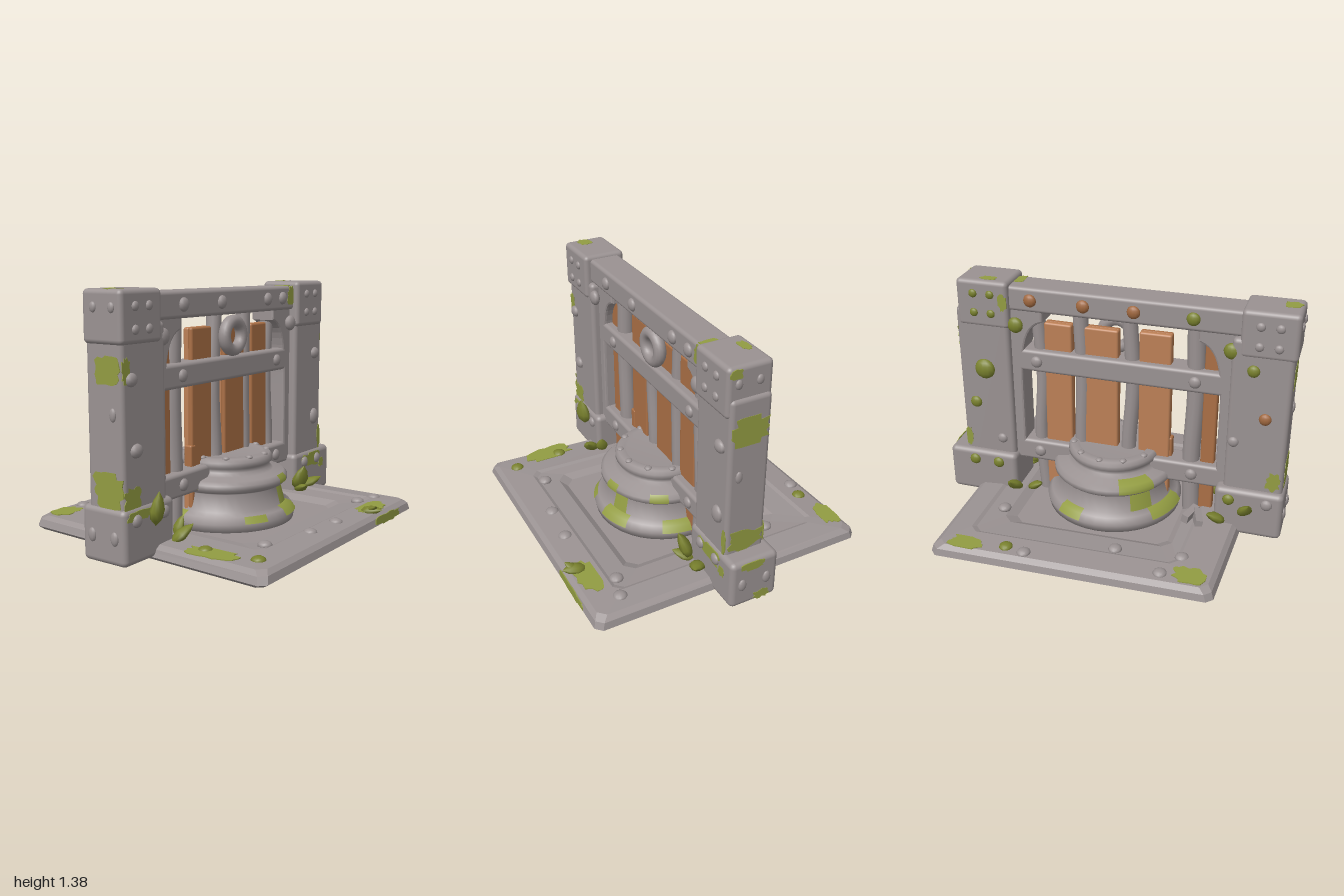
import * as THREE from 'three';
import { RoundedBoxGeometry } from 'three/addons/geometries/RoundedBoxGeometry.js';

const PI = Math.PI;
const FACE = {
  front: [0, 0, 0], back: [0, PI, 0], left: [0, PI / 2, 0], right: [0, -PI / 2, 0],
  up: [-PI / 2, 0, 0], down: [PI / 2, 0, 0],
};

export function createModel() {
  const root = new THREE.Group();
  root.name = 'ruinedGate';
  const mat = (name, color) => { const m = new THREE.MeshStandardMaterial({ color }); m.name = name; return m; };
  const stone = mat('stone', 0x9a9292);
  const wood = mat('wood', 0xaa6f45);
  const paleWood = mat('paleWood', 0xbc8056);
  const moss = mat('moss', 0x929c42);
  const leafGreen = mat('leaf', 0x7a822e);
  const copper = mat('copper', 0xa0683f);

  let seed = 7;
  const rnd = () => (seed = (seed * 16807) % 2147483647) / 2147483647;

  const add = (name, geo, m, p = [0, 0, 0], r = [0, 0, 0]) => {
    const mesh = new THREE.Mesh(geo, m);
    mesh.name = name;
    mesh.position.set(...p);
    mesh.rotation.set(...r);
    root.add(mesh);
    return mesh;
  };
  // Rounded block given by its limits on each axis
  const block = (name, m, x0, x1, y0, y1, z0, z1, round = 0.02, rz = 0) =>
    add(name, new RoundedBoxGeometry(x1 - x0, y1 - y0, z1 - z0, 3, round), m,
      [(x0 + x1) / 2, (y0 + y1) / 2, (z0 + z1) / 2], [0, 0, rz]);
  // Flattened round stud on a face
  const studGeo = new THREE.SphereGeometry(1, 12, 8);
  const stud = (x, y, z, face, r = 0.035, m = stone, tall = 1) =>
    add('stud', studGeo, m, [x, y, z], FACE[face]).scale.set(r, r * tall, r * 0.6);
  // Thin ragged moss patch on a face
  const patch = (x, y, z, face, w, h) => {
    const clamp = (v, l) => Math.max(-l, Math.min(l, v));
    const pts = [];
    for (let i = 0; i < 22; i++) {
      const a = (i / 22) * 2 * PI, k = 0.75 + 0.6 * rnd();
      pts.push(new THREE.Vector2(clamp(w * 0.5 * k * Math.cos(a), w / 2), clamp(h * 0.5 * k * Math.sin(a), h / 2)));
    }
    add('mossPatch', new THREE.ExtrudeGeometry(new THREE.Shape(pts), { depth: 0.005, bevelEnabled: false }),
      moss, [x, y, z], FACE[face]);
  };
  // Plump pointed leaf growing from a root point
  const leafGeo = new THREE.LatheGeometry([[0, 0], [0.5, 0.2], [0.62, 0.45], [0.4, 0.75], [0, 1]]
    .map(p => new THREE.Vector2(...p)), 10);
  const leaf = (x, y, z, yaw, lean, len) => {
    const l = add('leaf', leafGeo, leafGreen, [x, y, z]);
    l.rotation.set(lean, yaw, 0, 'YXZ');
    l.scale.set(len * 0.5, len, len * 0.3);
  };

  // Base slab: chamfered rings from the underside, over the rim, into the recess
  const quad = (x0, x1, z0, z1, y, cut) => {
    const c = [[x0, z1], [x1, z1], [x1, z0], [x0, z0]], out = [];
    c.forEach((p, i) => [c[(i + 3) % 4], c[(i + 1) % 4]].forEach(q => {
      const d = Math.hypot(q[0] - p[0], q[1] - p[1]) || 1;
      out.push([p[0] + (q[0] - p[0]) / d * cut, y, p[1] + (q[1] - p[1]) / d * cut]);
    }));
    return out;
  };
  const rings = [
    quad(0, 0, 0, 0, 0.012, 0), quad(-0.79, 0.78, -0.78, 0.77, 0.012, 0.03),
    quad(-0.815, 0.81, -0.81, 0.8, 0.032, 0.035), quad(-0.8, 0.8, -0.8, 0.79, 0.07, 0.035),
    quad(-0.77, 0.77, -0.77, 0.765, 0.09, 0.04), quad(-0.56, 0.65, -0.63, 0.62, 0.1, 0.04),
    quad(-0.54, 0.63, -0.61, 0.6, 0.09, 0.04), quad(-0.47, 0.52, -0.47, 0.49, 0.082, 0.05),
    quad(-0.43, 0.47, -0.42, 0.45, 0.055, 0.05), quad(0, 0, 0, 0, 0.055, 0)];
  // Skew the back right corner inwards
  rings.forEach(r => r.forEach(p => {
    if (p[0] < 0 && p[2] < 0) { p[0] *= 1 + 0.11 * p[2]; p[2] *= 0.95; }
  }));
  const verts = [];
  for (let i = 0; i < rings.length - 1; i++) for (let j = 0; j < 8; j++) {
    const k = (j + 1) % 8, a = rings[i], b = rings[i + 1];
    verts.push(...a[j], ...a[k], ...b[k], ...a[j], ...b[k], ...b[j]);
  }
  const slab = new THREE.BufferGeometry();
  slab.setAttribute('position', new THREE.Float32BufferAttribute(verts, 3));
  slab.computeVertexNormals();
  add('baseSlab', slab, stone);
  [[-0.45, -0.68], [-0.53, -0.52], [-0.17, -0.55], [0.29, -0.72], [0.4, -0.7], [0.55, -0.36], [-0.69, 0.38],
    [-0.66, 0.67], [-0.45, 0.57], [-0.14, 0.65], [0.1, 0.67], [0.55, 0.57], [0.68, 0.61]]
    .forEach(([x, z], i) => stud(x, 0.092, z, 'up', 0.038, i === 4 || i === 6 || i === 7 ? leafGreen : stone));
  stud(-0.69, 0.013, 0.7, 'down', 0.04, copper);
  [[-0.6, -0.66, 0.18, 0.13], [0.62, -0.73, 0.2, 0.1], [-0.72, 0.44, 0.13, 0.3], [0.47, 0.7, 0.26, 0.13]]
    .forEach(([x, z, w, h]) => patch(x, 0.0935, z, 'up', w, h));
  patch(0.48, 0.052, 0.796, 'front', 0.3, 0.06);

  // Round pedestal
  const profile = [[0, 0.05], [0.385, 0.05], [0.395, 0.1], [0.37, 0.135], [0.335, 0.15], [0.31, 0.245], [0.33, 0.255],
    [0.35, 0.275], [0.35, 0.3], [0.33, 0.32], [0.27, 0.33], [0.25, 0.35], [0.25, 0.37], [0.265, 0.38],
    [0.265, 0.405], [0.25, 0.425], [0.21, 0.43], [0.2, 0.415], [0, 0.415]].map(p => new THREE.Vector2(...p));
  add('pedestal', new THREE.LatheGeometry(profile, 40), stone, [0, 0, 0.01]);
  const mossBand = (from, to, start, len) => add('pedestalMoss', new THREE.LatheGeometry(
    profile.slice(from, to).map(p => new THREE.Vector2(p.x + 0.004, p.y + 0.002)), 10, start, len), moss, [0, 0, 0.01]);
  [[2, 5, 0.05, 0.5], [4, 6, 0.15, 0.3], [7, 10, 0.05, 0.25], [2, 5, 1.1, 0.5], [7, 10, 0.9, 0.3], [2, 4, 5.6, 0.35],
    [2, 5, 4.0, 0.7], [7, 11, 3.5, 0.6], [4, 6, 3.7, 0.4], [2, 5, 2.5, 0.4], [7, 10, 4.5, 0.4]]
    .forEach(a => mossBand(...a));
  for (let i = 0; i < 11; i++) {
    const a = i / 11 * 2 * PI + 0.2;
    stud(0.235 * Math.sin(a), 0.427, 0.01 + 0.235 * Math.cos(a), 'up', 0.02);
  }

  // Posts with foot and head blocks
  block('rightPost', stone, -0.985, -0.66, 0.1, 1.2, -0.11, 0.12, 0.025);
  block('leftPost', stone, 0.575, 0.885, 0.1, 1.2, -0.11, 0.12, 0.025);
  block('rightPostFoot', stone, -1, -0.62, 0.03, 0.315, -0.145, 0.135, 0.03);
  block('leftPostFoot', stone, 0.56, 0.98, 0.03, 0.31, -0.145, 0.135, 0.03);
  block('rightPostHead', stone, -1, -0.7, 1.1, 1.36, -0.115, 0.135, 0.025);
  block('leftPostHead', stone, 0.57, 0.87, 1.095, 1.365, -0.115, 0.135, 0.025);

  // Beam and rails
  block('topBeam', stone, -0.73, 0.6, 1.2, 1.34, -0.085, 0.1);
  block('middleRail', stone, -0.66, 0.58, 0.84, 0.97, -0.075, 0.075);
  block('lowerRail', stone, -0.66, 0.58, 0.265, 0.395, -0.075, 0.075);

  // Curved brackets between posts and beam
  const bracket = (name, post, foot, tip) => {
    const s = new THREE.Shape();
    s.moveTo(post, 0.28);
    s.lineTo(foot, 0.28);
    s.lineTo(foot, 0.75);
    s.bezierCurveTo(foot, 1.0, foot + (tip - foot) * 0.25, 1.12, tip, 1.15);
    s.lineTo(tip, 1.22);
    s.lineTo(post, 1.22);
    const g = new THREE.ExtrudeGeometry(s, { depth: 0.12, bevelSize: 0.012, bevelThickness: 0.015, bevelSegments: 2, curveSegments: 10 });
    add(name, g, stone, [0, 0, -0.06]);
  };
  bracket('rightBracket', -0.68, -0.62, -0.49);
  bracket('leftBracket', 0.6, 0.53, 0.4);

  // Wooden planks, paler on the back, and stone bars
  block('narrowPlank', wood, -0.59, -0.51, 0.06, 1.2, -0.03, 0.025, 0.012);
  [[-0.33, -0.15, 1.14], [-0.03, 0.17, 1.13], [0.24, 0.4, 1.13]].forEach(([a, b, top], i) => {
    block('plankFront', wood, a, b, 0.06, top, -0.005, 0.025, 0.012, (i - 0.5) * 0.006);
    block('plankBack', paleWood, a, b, 0.06, top, -0.035, 0.002, 0.012, (i - 0.5) * 0.006);
  });
  block('brokenPlank', wood, -0.345, -0.3, 0.3, 0.51, -0.02, 0.03, 0.01);
  [[-0.46, 0.05], [-0.1, 0.043], [0.185, 0.043], [0.43, 0.04]].forEach(([x, r], i) => {
    const path = new THREE.CatmullRomCurve3([0.05, 0.4, 0.8, 1.22].map((y, j) =>
      new THREE.Vector3(x + (j % 2 ? 0.006 : -0.006) * (i % 2 ? 2 : 1), y, -0.005)));
    add('bar', new THREE.TubeGeometry(path, 16, r, 12), stone);
  });
  add('hangingRing', new THREE.TorusGeometry(0.08, 0.035, 12, 28), stone, [0, 1.08, 0.06]);

  // Fallen chips behind the gate
  [[-0.54, -0.17, 0.3], [-0.49, -0.14, -0.3]].forEach(([x, z, yaw]) =>
    add('chip', new THREE.BoxGeometry(0.04, 0.05, 0.13), stone, [x, 0.11, z], [0, yaw, 0.2]));

  // Studs shared by front and back; those on the back are partly mossy
  for (const face of ['front', 'back']) {
    const back = face === 'back';
    const z = (f, b) => back ? -b : f;
    const mossy = x => back && x > 0 ? leafGreen : stone;
    [-0.47, 0.43].forEach(x => [0.905, 0.33].forEach(y => stud(x, y, z(0.075, 0.075), face, 0.034)));
    [-0.9, -0.8, 0.67, 0.77].forEach(x => [1.18, 1.29].forEach(y =>
      stud(x, y - (x < 0 ? 0.01 : 0), z(0.135, 0.115), face, 0.024, mossy(x))));
    [-0.91, -0.7, 0.67, 0.82].forEach(x =>
      stud(x, 0.25, z(0.135, 0.145), face, 0.033, back && x !== -0.91 ? leafGreen : stone));
    [-0.66, 0.54].forEach(x => stud(x, 1.12, z(0.1, 0.09), face, 0.045, back ? leafGreen : stone));
  }
  // Studs on the front of the beam and posts: x, y, size, stretch
  [[-0.49, 1.27, 0.037, 1], [-0.16, 1.27, 0.037, 1], [0.29, 1.27, 0.037, 1], [0.45, 1.27, 0.037, 1]]
    .forEach(([x, y, r, t]) => stud(x, y, 0.1, 'front', r, stone, t));
  [[-0.92, 0.935, 0.04, 0.85], [-0.89, 0.59, 0.042, 0.85], [0.8, 0.92, 0.042, 0.85], [0.8, 0.52, 0.042, 1.2]]
    .forEach(([x, y, r, t]) => stud(x, y, 0.12, 'front', r, stone, t));
  // Studs on the back of the beam and posts
  [[-0.45, leafGreen], [-0.13, copper], [0.15, copper], [0.45, copper]].forEach(([x, m]) => stud(x, 1.27, -0.085, 'back', 0.037, m));
  [[0.73, 0.84, 0.06, leafGreen], [0.8, 0.62, 0.035, leafGreen], [0.65, 0.4, 0.03, stone],
    [-0.86, 0.76, 0.034, copper], [-0.78, 1.03, 0.034, leafGreen], [-0.7, 0.6, 0.03, stone]]
    .forEach(([x, y, r, m]) => stud(x, y, -0.11, 'back', r, m));
  // Studs on the outer sides
  for (const [face, head, post, foot] of [['left', 0.87, 0.885, 0.98], ['right', -1, -0.985, -1]]) {
    [0.075, -0.04].forEach(z => stud(head, 1.275, z, face, 0.02, stone, 1.3));
    stud(post, 0.77, 0.06, face, 0.02, stone, 1.7);
    [0.07, -0.075].forEach(z => stud(foot, 0.17, z, face, 0.024, stone, 1.5));
  }

  // Moss patches on the frame
  [[-0.955, 0.98, 0.117, 'front', 0.055, 0.13], [-0.92, 0.36, 0.117, 'front', 0.12, 0.12],
    [-0.88, 0.275, 0.132, 'front', 0.2, 0.05], [0.865, 0.38, 0.117, 'front', 0.035, 0.16],
    [0.75, 0.25, 0.132, 'front', 0.22, 0.09], [0.88, 0.21, 0.132, 'front', 0.06, 0.06],
    [0.54, 1.285, 0.097, 'front', 0.07, 0.11], [0.56, 1.337, 0.04, 'up', 0.08, 0.1],
    [0.86, 0.38, -0.107, 'back', 0.04, 0.12], [-0.93, 0.38, -0.107, 'back', 0.08, 0.12],
    [0.6, 1.25, -0.112, 'back', 0.05, 0.1],
    [0.882, 1.02, 0.005, 'left', 0.21, 0.16], [0.882, 0.37, 0.005, 'left', 0.21, 0.14],
    [0.977, 0.275, 0.01, 'left', 0.14, 0.05], [0.977, 0.07, -0.05, 'left', 0.1, 0.06],
    [0.867, 1.33, 0.09, 'left', 0.07, 0.05],
    [-0.982, 0.4, 0.02, 'right', 0.2, 0.18], [-0.982, 0.98, 0.03, 'right', 0.16, 0.14],
    [-0.94, 1.357, 0.03, 'up', 0.1, 0.08], [0.7, 1.362, -0.06, 'up', 0.1, 0.05]]
    .forEach(a => patch(...a));

  // Leaf clumps: x, y, z, yaw, lean, length
  [[-0.79, 0.2, 0.15, 0.3, 0.12, 0.18], [-0.67, 0.08, 0.15, 0.9, 0.9, 0.15], [-0.6, 0.09, 0.12, 1.2, 0.4, 0.12],
    [-0.78, 0.16, -0.13, 3.6, 0.7, 0.14], [-0.68, 0.1, -0.13, 2.4, 1, 0.15],
    [0.58, 0.09, 0.14, -0.4, 0.4, 0.18], [0.65, 0.1, 0.13, 0.9, 1.2, 0.14], [0.6, 0.09, 0.13, -0.6, 1.2, 0.13],
    [0.56, 0.09, -0.12, 3.1, 0.9, 0.15], [0.5, 0.08, -0.09, 4.2, 1, 0.13],
    [0.39, 0.09, 0.67, 0, 1.4, 0.14], [0.4, 0.09, 0.72, -0.6, 1, 0.09]]
    .forEach(a => leaf(...a));

  return root;
}
